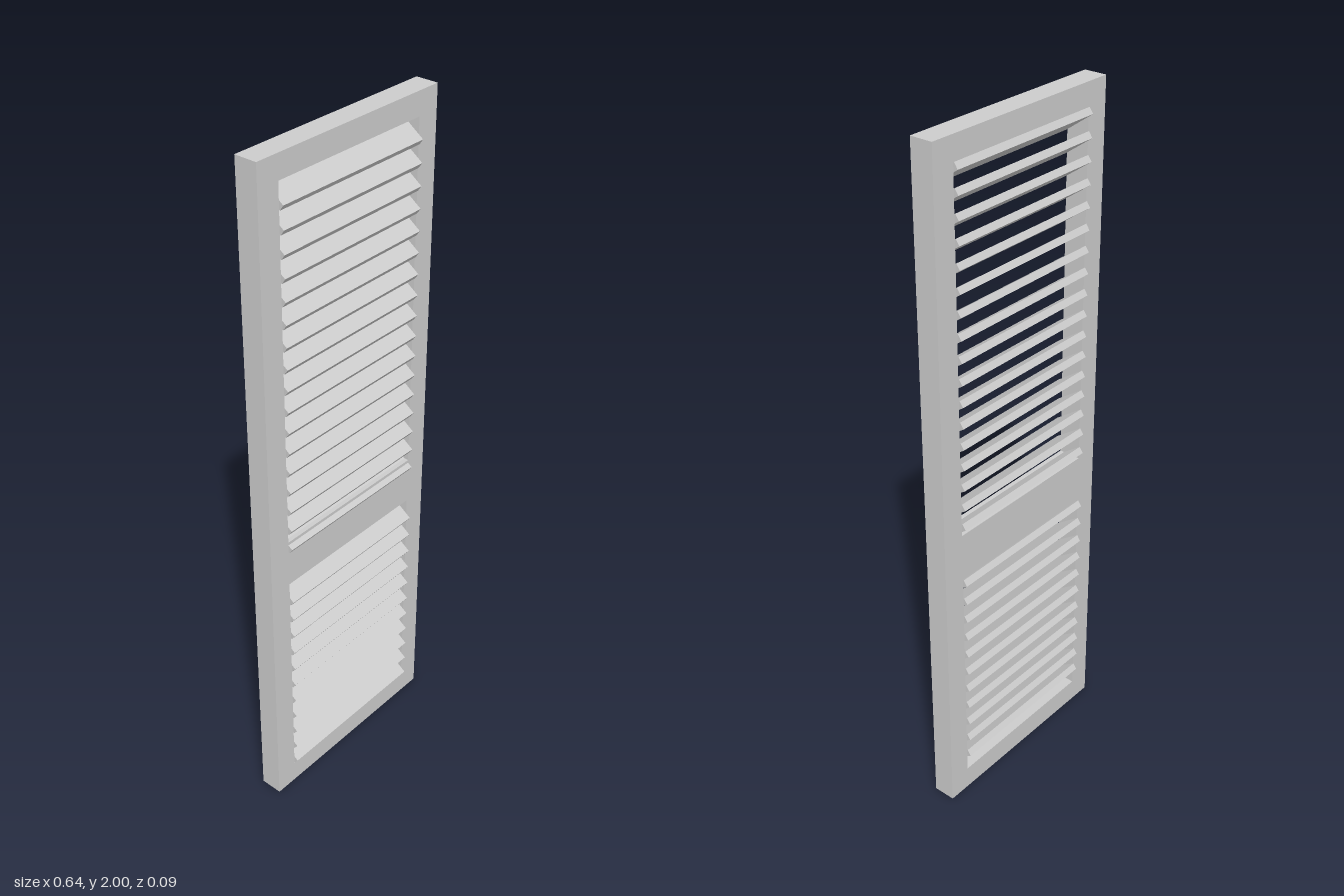
import * as THREE from 'three';

const material = new THREE.MeshStandardMaterial({ color: 0xcccccc });

const HALF_W = 0.32, HEIGHT = 2, DEPTH = 0.066;
const OPEN_HALF = 0.252;      // half width of both openings
const TILT = 0.61;            // slats slope down towards the front
const PITCH = 0.0618;

function rectangle(Type, x, y0, y1) {
  const r = new Type();
  r.moveTo(-x, y0);
  r.lineTo(x, y0);
  r.lineTo(x, y1);
  r.lineTo(-x, y1);
  r.closePath();
  return r;
}

// One bank of evenly spaced tilted slats, from the top one down
function slatBank(name, topY, count) {
  const bank = new THREE.Group();
  bank.name = name;
  const geometry = new THREE.BoxGeometry(OPEN_HALF * 2, 0.0195, 0.1);
  for (let i = 0; i < count; i++) {
    const slat = new THREE.Mesh(geometry, material);
    slat.name = 'slat';
    slat.position.set(0, topY - i * PITCH, -0.001);
    slat.rotation.x = TILT;
    bank.add(slat);
  }
  return bank;
}

export function createModel() {
  const model = new THREE.Group();
  model.name = 'louveredShutter';

  // Frame: stiles and rails in one piece around two openings
  const outline = rectangle(THREE.Shape, HALF_W, 0, HEIGHT);
  outline.holes.push(
    rectangle(THREE.Path, OPEN_HALF, 0.07, 0.765),
    rectangle(THREE.Path, OPEN_HALF, 0.908, 1.934),
  );
  const frameGeometry = new THREE.ExtrudeGeometry(outline, { depth: DEPTH, bevelEnabled: false });
  frameGeometry.translate(0, 0, -DEPTH / 2 - 0.001);
  const frame = new THREE.Mesh(frameGeometry, material);
  frame.name = 'frame';
  model.add(frame);

  // Louvers
  model.add(slatBank('upperSlats', 1.899, 17));
  model.add(slatBank('lowerSlats', 0.727, 11));

  return model;
}
